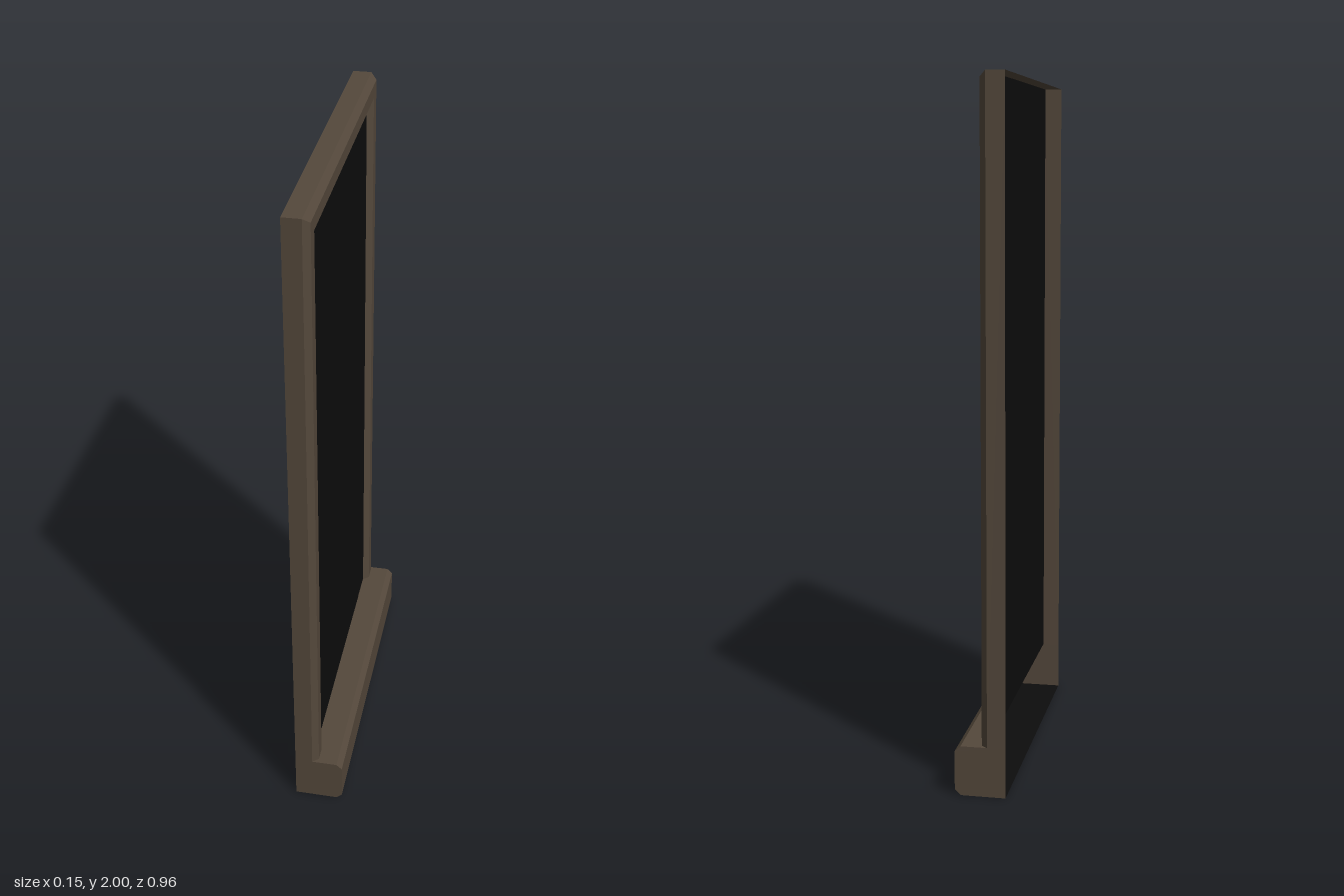
import * as THREE from 'three';

const brown = new THREE.MeshStandardMaterial({ color: 0x54483b, side: THREE.DoubleSide });
brown.name = 'brown frame';
const black = new THREE.MeshStandardMaterial({ color: 0x0d0d0d, side: THREE.DoubleSide });
black.name = 'black pane';

const HALF = 0.48, TOP = 2, SILL = 0.145;   // half width, height, sill height
const BACK = -0.073, PANE = -0.02, FACE = -0.002;

// Flat-faced surface through rows of points
function loft(name, rows, material) {
  const pos = [];
  for (let i = 0; i < rows.length - 1; i++) {
    for (let j = 0; j < rows[i].length - 1; j++) {
      const a = rows[i][j], b = rows[i + 1][j], c = rows[i + 1][j + 1], d = rows[i][j + 1];
      pos.push(...a, ...b, ...c, ...a, ...c, ...d);
    }
  }
  const g = new THREE.BufferGeometry();
  g.setAttribute('position', new THREE.Float32BufferAttribute(pos, 3));
  g.computeVertexNormals();
  const mesh = new THREE.Mesh(g, material);
  mesh.name = name;
  return mesh;
}

// Stretch an x, y profile across the full width
const across = (profile) => profile.map(([x, y]) => [[x, y, HALF], [x, y, -HALF]]);

export function createModel() {
  const group = new THREE.Group();
  group.name = 'window';

  // Mitred moulding up one side, over the top and down the other; open at the back
  const moulding = [[0, BACK], [0, PANE], [0.016, FACE], [0.056, FACE], [0.072, PANE]];
  group.add(loft('frame', moulding.map(([inset, x]) => {
    const z = HALF - inset, y = TOP - inset;
    return [[x, SILL, z], [x, y, z], [x, y, -z], [x, SILL, -z]];
  }), brown));

  // Dark pane behind the moulding
  const px = PANE - 0.001;
  group.add(loft('pane', [
    [[px, SILL, HALF], [px, TOP, HALF]],
    [[px, SILL, -HALF], [px, TOP, -HALF]],
  ], black));

  // Chamfered sill shell with a dark underside
  const sill = [[PANE, SILL], [0.056, SILL], [0.073, SILL - 0.016], [0.073, 0.016], [0.056, 0]];
  group.add(loft('sill', across(sill), brown));
  group.add(loft('sillUnderside', across([[0.056, 0], [BACK, 0]]), black));

  // Sill end caps
  const outline = new THREE.Shape([[BACK, SILL], [BACK, 0], ...sill.slice(1).reverse()]
    .map(([x, y]) => new THREE.Vector2(x, y)));
  for (const side of [1, -1]) {
    const g = new THREE.ShapeGeometry(outline);
    if (side < 0) {
      // Mirror the cap so that it faces outward
      g.rotateY(Math.PI);
      g.scale(-1, 1, 1);
      const ix = g.index.array;
      for (let i = 0; i < ix.length; i += 3) [ix[i], ix[i + 1]] = [ix[i + 1], ix[i]];
      g.computeVertexNormals();
    }
    const cap = new THREE.Mesh(g, brown);
    cap.name = side > 0 ? 'sillEndFront' : 'sillEndBack';
    cap.position.z = side * HALF;
    group.add(cap);
  }
  return group;
}
